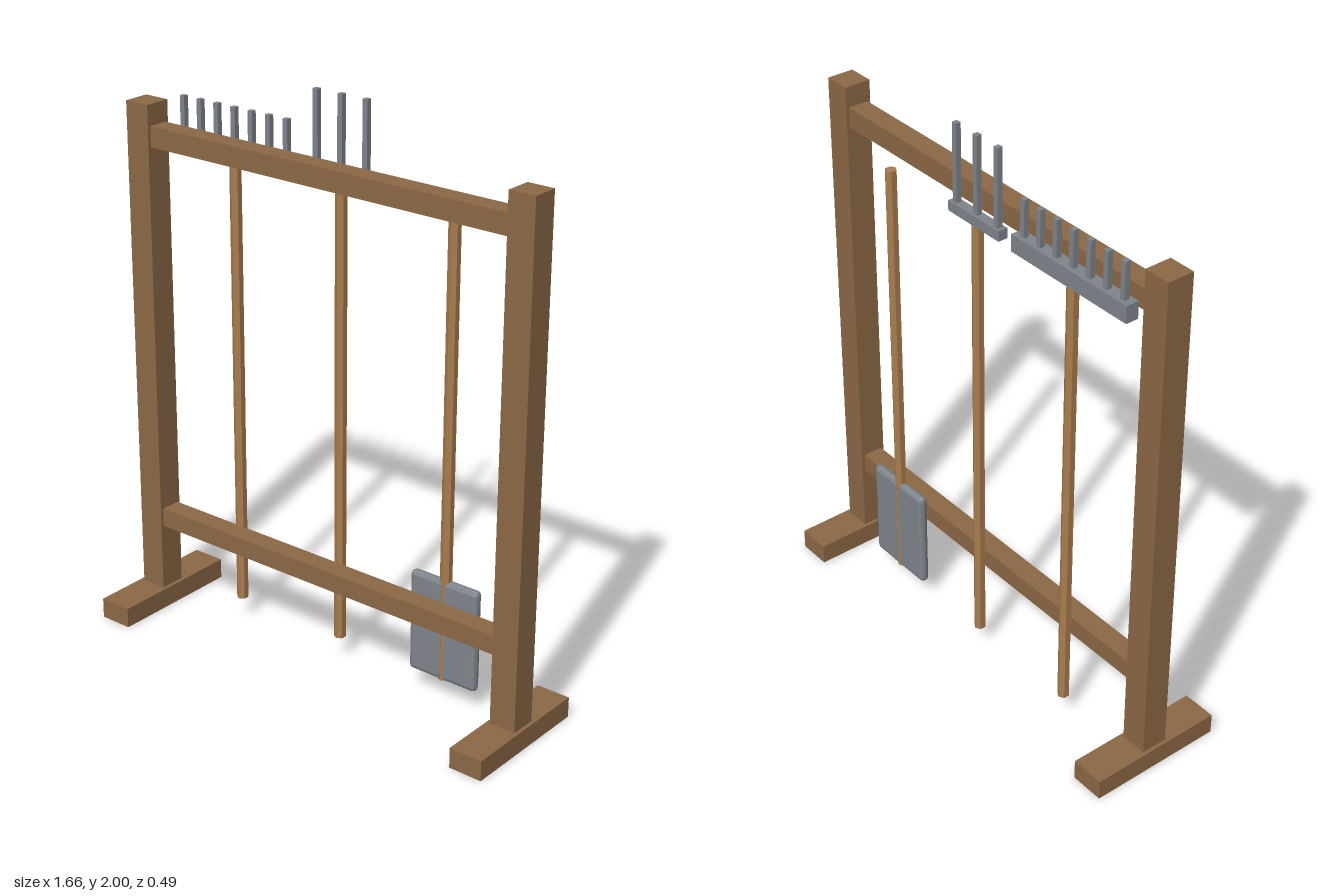
import * as THREE from 'three';
import { RoundedBoxGeometry } from 'three/addons/geometries/RoundedBoxGeometry.js';

export function createModel() {
  const frameWood = new THREE.MeshStandardMaterial({ color: 0x8b6845 });
  frameWood.name = 'frame wood';
  const handleWood = new THREE.MeshStandardMaterial({ color: 0xa97c4c });
  handleWood.name = 'handle wood';
  handleWood.flatShading = true;
  const metal = new THREE.MeshStandardMaterial({ color: 0x7d848b });
  metal.name = 'grey metal';
  metal.flatShading = true;

  const model = new THREE.Group();
  model.name = 'toolRack';
  const toolZ = -0.076;

  function add(parent, name, geometry, material, x, y, z) {
    const mesh = new THREE.Mesh(geometry, material);
    mesh.name = name;
    mesh.position.set(x, y, z);
    parent.add(mesh);
    return mesh;
  }

  // box given by its bottom height
  function box(parent, name, material, w, h, d, x, bottom, z) {
    return add(parent, name, new THREE.BoxGeometry(w, h, d), material, x, bottom + h / 2, z);
  }

  // Frame: feet, posts and rails
  const frame = new THREE.Group();
  frame.name = 'frame';
  model.add(frame);
  for (const [side, s] of [['left', 1], ['right', -1]]) {
    box(frame, side + 'Foot', frameWood, 0.122, 0.073, 0.493, s * 0.769, 0, 0);
    box(frame, side + 'Post', frameWood, 0.096, 1.79, 0.096, s * 0.769, 0.073, 0);
  }
  box(frame, 'upperRail', frameWood, 1.46, 0.072, 0.073, 0, 1.717, 0);
  box(frame, 'lowerRail', frameWood, 1.46, 0.068, 0.073, 0, 0.318, 0);

  // A tool with a six-sided handle hanging behind the rails
  function tool(name, x) {
    const group = new THREE.Group();
    group.name = name;
    group.position.set(x, 0, toolZ);
    model.add(group);
    add(group, 'handle', new THREE.CylinderGeometry(0.0205, 0.0205, 1.612, 6), handleWood, 0, 0.886, 0);
    return group;
  }

  // Head bar with a row of upright tines
  function tinedHead(group, width, height, depth, count, spacing, top) {
    box(group, 'head', metal, width, height, depth, 0, 1.692, 0);
    for (let i = 0; i < count; i++) {
      const x = (i - (count - 1) / 2) * spacing;
      box(group, 'tine', metal, 0.019, top - 1.71, 0.019, x, 1.71, 0);
    }
  }

  tinedHead(tool('rake', -0.448), 0.516, 0.06, 0.046, 7, 0.0745, 1.88);
  tinedHead(tool('fork', 0), 0.246, 0.036, 0.035, 3, 0.1, 2);

  // Shovel with a chamfered blade
  const shovel = tool('shovel', 0.445);
  add(shovel, 'blade', new RoundedBoxGeometry(0.27, 0.37, 0.034, 1, 0.014), metal, 0, 0.263, 0);

  return model;
}
